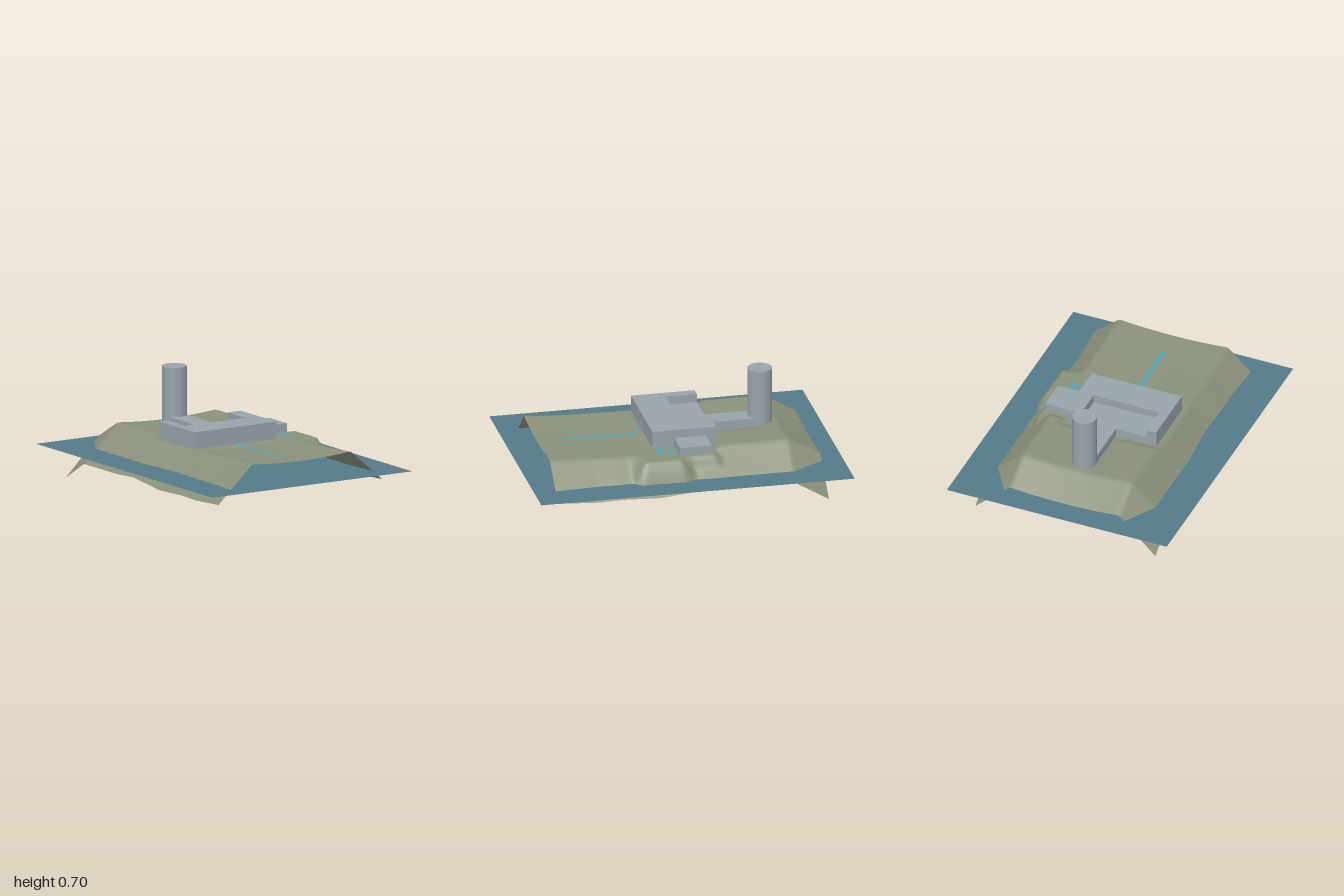
import * as THREE from 'three';

const clamp = THREE.MathUtils.clamp, lerp = THREE.MathUtils.lerp;
const WATER = 0.21, FLOOR = 0.325, LOW = 0.387, HIGH = 0.44;

// Piecewise linear lookup through [position, value] pairs
function along(points, t) {
  for (let i = 1; i < points.length; i++) {
    const [a, va] = points[i - 1], [b, vb] = points[i];
    if (t <= b) return lerp(va, vb, clamp((t - a) / (b - a), 0, 1));
  }
  return points[points.length - 1][1];
}

// Heights along z of the plateau rim and of the sunken outer edge
const RIM = [[-0.87, 0.243], [-0.66, 0.362], [-0.22, 0.36], [0, 0.338], [0.3, 0.336], [0.6, 0.341], [0.865, 0.355]];
const EDGE = [[-0.87, 0], [-0.66, 0.125], [-0.3, 0.125], [-0.1, 0.135], [0.2, 0.105], [0.45, 0.115], [0.6, 0.11], [0.865, 0.125]];
// Levelled pads: x range, z range, width of the bank around them
const PADS = [
  [-0.355, 0.28, -0.235, 0.2, 0.04],
  [0.26, 0.455, -0.175, 0.06, 0.04],
  [0.3, 0.505, 0.05, 0.28, 0.085],
  [-0.08, 0.08, -0.5, -0.22, 0.04],
];

function ground(x, z) {
  const rim = along(RIM, z), half = x < 0 ? 0.36 : 0.375, ax = Math.abs(x);
  const edge = along(EDGE, z) + (x > 0 ? 0.028 : 0);
  let y = ax < half
    ? rim - 0.018 * (1 - (ax / half) ** 2)
    : lerp(rim, edge, (ax - half) / (0.61 - half));
  for (const [x0, x1, z0, z1, bank] of PADS) {
    const dx = Math.max(x0 - x, x - x1, 0), dz = Math.max(z0 - z, z - z1, 0);
    y = lerp(y, 0.332, clamp(1 - Math.hypot(dx, dz) / bank, 0, 1));
  }
  return y;
}

export function createModel() {
  const model = new THREE.Group();
  model.name = 'islandStation';
  const material = (name, color, side = THREE.FrontSide) => {
    const m = new THREE.MeshStandardMaterial({ color, side });
    m.name = name;
    return m;
  };
  const concrete = material('concrete grey', 0x98a3ab);
  const earth = material('island olive', 0x8a917a, THREE.DoubleSide);
  const sea = material('sea blue', 0x547a88, THREE.DoubleSide);
  const trail = material('path cyan', 0x4ba6b9, THREE.DoubleSide);

  const add = (name, geometry, mat) => {
    const mesh = new THREE.Mesh(geometry, mat);
    mesh.name = name;
    model.add(mesh);
    return mesh;
  };
  const block = (name, x0, x1, y0, y1, z0, z1) =>
    add(name, new THREE.BoxGeometry(x1 - x0, y1 - y0, z1 - z0), concrete)
      .position.set((x0 + x1) / 2, (y0 + y1) / 2, (z0 + z1) / 2);

  // Water sheet
  add('water', new THREE.PlaneGeometry(1.49, 2).rotateX(-Math.PI / 2).translate(0, WATER, 0), sea);

  // Island: an open sheet shaped by the ground rule
  const island = new THREE.PlaneGeometry(1.22, 1.73, 74, 100).rotateX(-Math.PI / 2);
  const p = island.attributes.position;
  for (let i = 0; i < p.count; i++) p.setY(i, ground(p.getX(i), p.getZ(i)));
  island.computeVertexNormals();
  add('island', island, earth);

  // Main building: lower storey with a U-shaped upper storey
  block('lowerStorey', -0.34, 0.27, FLOOR, LOW, -0.22, 0.185);
  block('upperFront', -0.34, 0.27, LOW, HIGH, -0.02, 0.185);
  block('upperRightWing', -0.34, -0.275, LOW, HIGH, -0.22, -0.02);
  block('upperLeftWing', 0.17, 0.27, LOW, HIGH, -0.22, -0.02);
  block('corridor', -0.067, 0.067, FLOOR, LOW, -0.52, -0.22);
  block('annex', 0.27, 0.44, FLOOR, LOW, -0.155, 0.047);

  // Doors
  block('frontDoor', -0.048, -0.024, FLOOR, 0.376, 0.185, 0.19);
  block('annexDoor', 0.358, 0.383, FLOOR, 0.376, 0.047, 0.052);

  // Tower
  add('tower', new THREE.CylinderGeometry(0.077, 0.077, 0.38, 40), concrete).position.set(0, 0.51, -0.56);

  // Paths: flat ribbons laid on the ground, mitred at each bend
  const path = (name, pts, width) => {
    const v = pts.map(([x, z]) => new THREE.Vector2(x, z));
    const side = v.map((c, i) => {
      const a = c.clone().sub(v[Math.max(i - 1, 0)]).normalize();
      const b = v[Math.min(i + 1, v.length - 1)].clone().sub(c).normalize();
      const t = a.clone().add(b).normalize();
      const n = new THREE.Vector2(-t.y, t.x);
      const cos = Math.abs(t.dot(i ? a : b));
      return n.multiplyScalar(width / 2 / Math.max(cos, 0.5));
    });
    const pos = [], index = [], steps = 24;
    for (let i = 0; i < v.length - 1; i++) for (let s = 0; s <= steps; s++) {
      const c = v[i].clone().lerp(v[i + 1], s / steps);
      const n = side[i].clone().lerp(side[i + 1], s / steps);
      for (const k of [-1, 1]) {
        const x = c.x + k * n.x, z = c.y + k * n.y;
        pos.push(x, ground(x, z) + 0.005, z);
      }
      const o = pos.length / 3 - 4;
      if (s) index.push(o, o + 1, o + 2, o + 1, o + 3, o + 2);
    }
    const g = new THREE.BufferGeometry();
    g.setAttribute('position', new THREE.Float32BufferAttribute(pos, 3));
    g.setIndex(index);
    g.computeVertexNormals();
    if (g.attributes.normal.getY(0) < 0) {
      g.setIndex(index.reverse());
      g.computeVertexNormals();
    }
    add(name, g, trail);
  };
  path('frontPath', [[-0.036, 0.187], [0, 0.28], [0, 0.7]], 0.026);
  path('annexPath', [[0.371, 0.05], [0.385, 0.162], [0.27, 0.138]], 0.026);

  return model;
}
